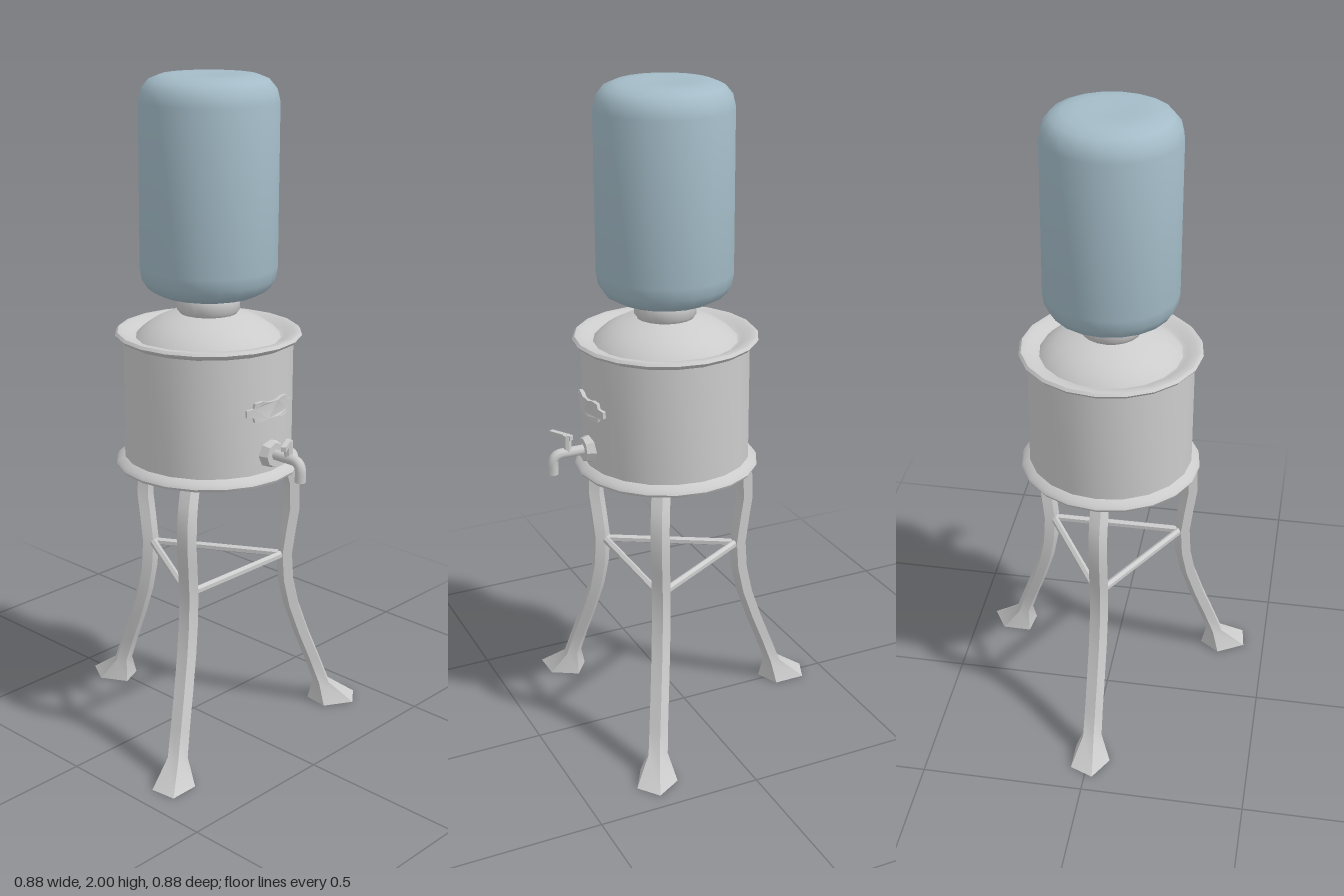
import * as THREE from 'three';
import { toCreasedNormals } from 'three/addons/utils/BufferGeometryUtils.js';

const AXIS_X = 0.06; // the vessel's axis; the tap and rear leg balance around x = 0
const SIDES = 20;

const grey = new THREE.MeshStandardMaterial({ color: 0xcccccc });
const blue = new THREE.MeshStandardMaterial({ color: 0xa4bcc8 });

function part(name, geometry, material = grey, crease = 0.7) {
  const mesh = new THREE.Mesh(toCreasedNormals(geometry, crease), material);
  mesh.name = name;
  return mesh;
}

function lathe(name, profile, material, crease) {
  const points = profile.map(([r, y]) => new THREE.Vector2(r, y));
  return part(name, new THREE.LatheGeometry(points, SIDES), material, crease);
}

// Straight rod between two points
function rod(name, a, b, radius, sides) {
  const curve = new THREE.LineCurve3(new THREE.Vector3(...a), new THREE.Vector3(...b));
  return part(name, new THREE.TubeGeometry(curve, 1, radius, sides), grey);
}

// Five-sided leg lofted through horizontal sections, running along -x
function legGeometry() {
  // [distance from axis, height, radial half width, tangential half width]
  const sections = [
    [0.424, 0, 0.083, 0.064],
    [0.383, 0.068, 0.027, 0.031],
    [0.352, 0.15, 0.026, 0.03],
    [0.312, 0.25, 0.026, 0.03],
    [0.277, 0.35, 0.026, 0.03],
    [0.257, 0.44, 0.026, 0.03],
    [0.251, 0.53, 0.026, 0.03],
    [0.262, 0.61, 0.026, 0.03],
    [0.273, 0.68, 0.026, 0.03],
    [0.271, 0.76, 0.026, 0.03],
    [0.257, 0.81, 0.026, 0.03],
    [0.23, 0.865, 0.026, 0.03],
  ];
  const n = 5;
  const positions = [];
  const index = [];
  for (const [r, y, a, b] of sections) {
    for (let i = 0; i < n; i++) {
      const t = Math.PI / 2 + (i / n) * Math.PI * 2;
      positions.push(-r + a * Math.cos(t), y, 0.004 + b * Math.sin(t));
    }
  }
  for (let j = 0; j < sections.length - 1; j++) {
    for (let i = 0; i < n; i++) {
      const p = j * n + i;
      const q = j * n + ((i + 1) % n);
      index.push(p, p + n, q + n, p, q + n, q);
    }
  }
  for (let i = 1; i < n - 1; i++) index.push(0, i, i + 1); // sole
  const geometry = new THREE.BufferGeometry();
  geometry.setAttribute('position', new THREE.Float32BufferAttribute(positions, 3));
  geometry.setIndex(index);
  return geometry;
}

// Ornamental plate, bent around the vessel wall
function plateGeometry() {
  const half = [
    [0.02, 0.024], [0.04, 0.03], [0.066, 0.028], [0.07, 0.014], [0.092, 0.01],
    [0.092, -0.01], [0.07, -0.014], [0.066, -0.028], [0.04, -0.03], [0.02, -0.024],
  ];
  const mirrored = half.map(([u, v]) => [-u, v]).reverse();
  const shape = new THREE.Shape([...half, ...mirrored].map((p) => new THREE.Vector2(...p)));
  const geometry = new THREE.ExtrudeGeometry(shape, { depth: 0.02, bevelEnabled: false });
  const pos = geometry.attributes.position;
  for (let i = 0; i < pos.count; i++) {
    const angle = pos.getX(i) / 0.25;
    const r = 0.239 + pos.getZ(i);
    pos.setXYZ(i, r * Math.cos(angle), pos.getY(i), -r * Math.sin(angle));
  }
  return geometry;
}

function createTap() {
  const tap = new THREE.Group();
  tap.name = 'tap';
  const flange = part('tapFlange', new THREE.CylinderGeometry(0.036, 0.045, 0.03, 8).rotateZ(-Math.PI / 2));
  flange.position.set(0.255, 0.94, 0);

  // Pipe leaves the wall and turns down into the spout
  const path = new THREE.CurvePath();
  const v = (x, y) => new THREE.Vector3(x, y, 0);
  path.add(new THREE.LineCurve3(v(0.24, 0.94), v(0.335, 0.94)));
  path.add(new THREE.QuadraticBezierCurve3(v(0.335, 0.94), v(0.364, 0.94), v(0.364, 0.91)));
  path.add(new THREE.LineCurve3(v(0.364, 0.91), v(0.364, 0.88)));
  const spout = part('spout', new THREE.TubeGeometry(path, 20, 0.016, 8), grey, 1);
  const outlet = part('spoutEnd', new THREE.CircleGeometry(0.016, 8).rotateX(Math.PI / 2));
  outlet.position.set(0.364, 0.881, 0);

  const stem = part('valveStem', new THREE.CylinderGeometry(0.012, 0.014, 0.055, 8));
  stem.position.set(0.318, 0.967, 0);
  const handle = part('valveHandle', new THREE.BoxGeometry(0.078, 0.014, 0.015));
  handle.position.set(0.328, 0.988, 0.022);
  handle.rotation.y = -1.05;
  tap.add(flange, spout, outlet, stem, handle);
  return tap;
}

export function createModel() {
  const model = new THREE.Group();
  model.name = 'waterDispenser';
  const body = new THREE.Group();
  body.name = 'dispenser';
  body.position.x = AXIS_X;
  model.add(body);

  // Vessel with flared base, rolled rim, domed lid and collar
  body.add(lathe('vessel', [
    [0, 0.855], [0.272, 0.855], [0.276, 0.863], [0.27, 0.873], [0.25, 0.885],
    [0.25, 1.238], [0.268, 1.247], [0.275, 1.256], [0.268, 1.264], [0.25, 1.264],
    [0.228, 1.25], [0.212, 1.246],
  ]));
  body.add(lathe('domedLid', [
    [0.214, 1.246], [0.195, 1.267], [0.165, 1.287], [0.13, 1.305], [0.088, 1.318],
  ]));
  body.add(lathe('collar', [
    [0.083, 1.315], [0.092, 1.327], [0.093, 1.362], [0.086, 1.372], [0, 1.372],
  ]));

  // Upturned bottle
  body.add(lathe('bottle', [
    [0, 1.366], [0.1, 1.366], [0.145, 1.375], [0.178, 1.393], [0.195, 1.42], [0.201, 1.455],
    [0.201, 1.925], [0.193, 1.958], [0.172, 1.983], [0.14, 1.996], [0.1, 2], [0.05, 1.997], [0, 1.995],
  ], blue, 0.9));

  // Three legs, tied by a triangle of braces
  const legs = legGeometry();
  const corner = (k) => {
    const a = Math.PI + (k * Math.PI * 2) / 3;
    return [0.243 * Math.cos(a), 0.525, 0.243 * Math.sin(a)];
  };
  for (let k = 0; k < 3; k++) {
    const leg = part('leg' + (k + 1), legs);
    leg.rotation.y = (k * Math.PI * 2) / 3;
    body.add(leg, rod('brace' + (k + 1), corner(k), corner(k + 1), 0.012, 6));
  }

  const plate = part('plate', plateGeometry());
  plate.position.y = 1.075;
  body.add(plate, createTap());
  return model;
}
